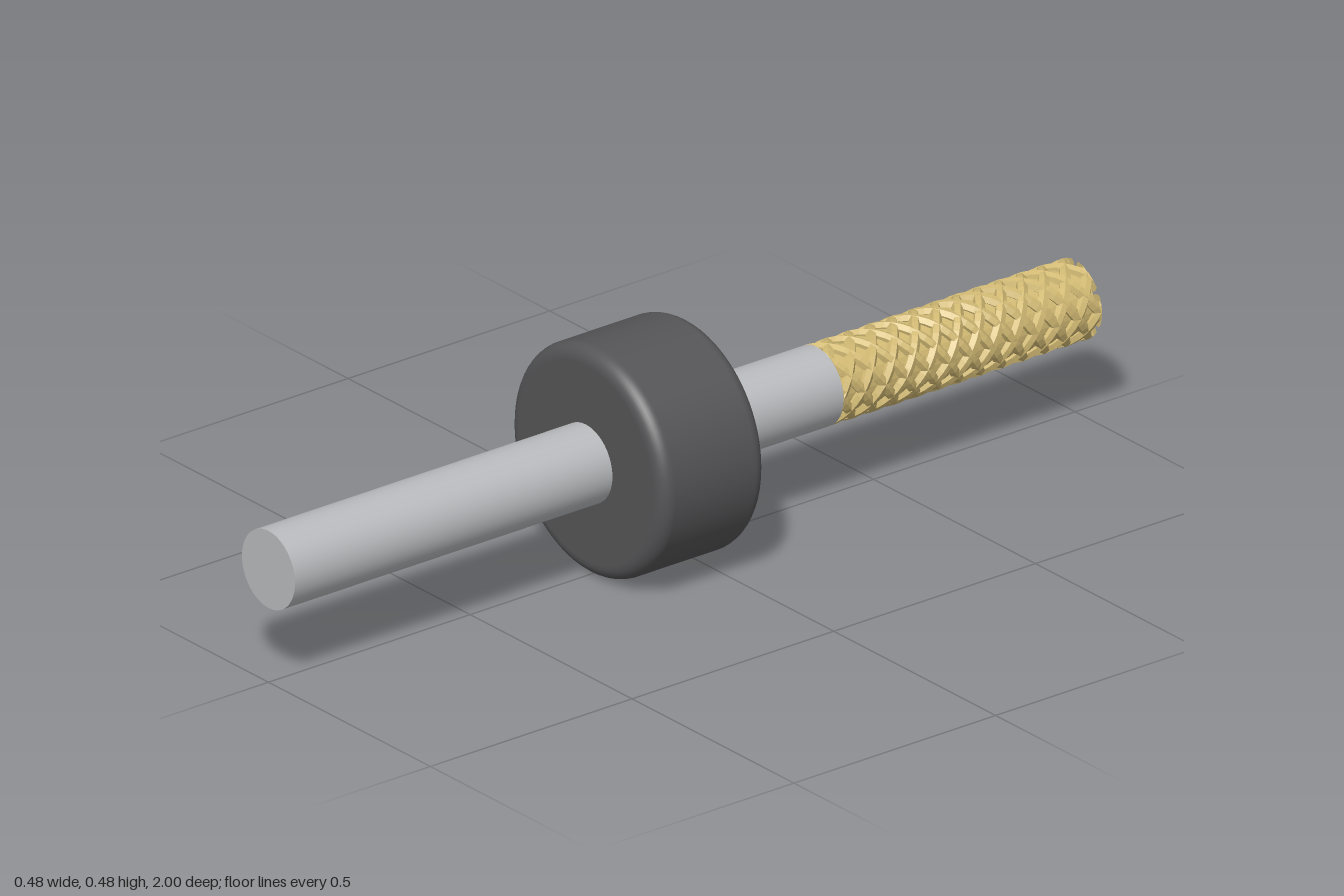
import * as THREE from 'three';

const AXIS_Y = 0.24;      // height of the shaft's centre line
const SHAFT_R = 0.082;
const GRIP_START = -0.36, GRIP_END = -1;

const mat = (name, color, extra = {}) => {
  const m = new THREE.MeshStandardMaterial({ color, ...extra });
  m.name = name;
  return m;
};

// Solid cylinder lying along z
function rod(r, z0, z1, sides) {
  return new THREE.CylinderGeometry(r, r, z1 - z0, sides)
    .rotateX(Math.PI / 2).translate(0, 0, (z0 + z1) / 2);
}

// Disc along z with rounded rims
function roundedDisc(r, z0, z1, fillet) {
  const pts = [new THREE.Vector2(0, z0), new THREE.Vector2(r - fillet - 0.002, z0)];
  for (const [zc, from] of [[z0 + fillet, -Math.PI / 2], [z1 - fillet, 0]]) {
    for (let i = 0; i <= 8; i++) {
      const a = from + (i / 8) * Math.PI / 2;
      pts.push(new THREE.Vector2(r - fillet + fillet * Math.cos(a), zc + fillet * Math.sin(a)));
    }
  }
  pts.push(new THREE.Vector2(r - fillet - 0.002, z1), new THREE.Vector2(0, z1));
  return new THREE.LatheGeometry(pts, 64).rotateX(Math.PI / 2);
}

// Helical ridge, trimmed flat at both ends of the grip
class Helix extends THREE.Curve {
  constructor(phase, dir) {
    super();
    this.phase = phase;
    this.dir = dir;
  }
  getPoint(t, target = new THREE.Vector3()) {
    const z = THREE.MathUtils.lerp(GRIP_END - 0.02, GRIP_START + 0.02, t);
    const a = this.phase + this.dir * (z - GRIP_END) / 0.32 * Math.PI * 2;
    return target.set(Math.cos(a) * 0.071, Math.sin(a) * 0.071, z);
  }
}

function ridge(phase, dir) {
  const geo = new THREE.TubeGeometry(new Helix(phase, dir), 72, 0.012, 6);
  const p = geo.attributes.position;
  for (let i = 0; i < p.count; i++) {
    p.setZ(i, THREE.MathUtils.clamp(p.getZ(i), GRIP_END, GRIP_START));
  }
  return geo;
}

export function createModel() {
  const steel = mat('steel', 0xb8babd);
  const rubber = mat('dark rubber', 0x555557);
  const brass = mat('brass', 0xd2ba74, { flatShading: true });

  const model = new THREE.Group();
  model.name = 'shaftWithRoller';
  const assembly = new THREE.Group();
  assembly.name = 'assembly';
  assembly.position.y = AXIS_Y;
  model.add(assembly);

  const add = (name, geo, material, parent = assembly) => {
    const mesh = new THREE.Mesh(geo, material);
    mesh.name = name;
    parent.add(mesh);
  };

  add('shaft', rod(SHAFT_R, GRIP_START, 1, 48), steel);
  add('roller', roundedDisc(0.24, -0.045, 0.213, 0.03), rubber);

  // Knurled grip: core wrapped by six ridges in each direction
  const grip = new THREE.Group();
  grip.name = 'knurledGrip';
  assembly.add(grip);
  add('gripCore', rod(0.07, GRIP_END + 0.005, GRIP_START, 36), brass, grip);
  for (let i = 0; i < 6; i++) {
    for (const dir of [1, -1]) {
      add('gripRidge', ridge(i * Math.PI / 3, dir), brass, grip);
    }
  }
  return model;
}
